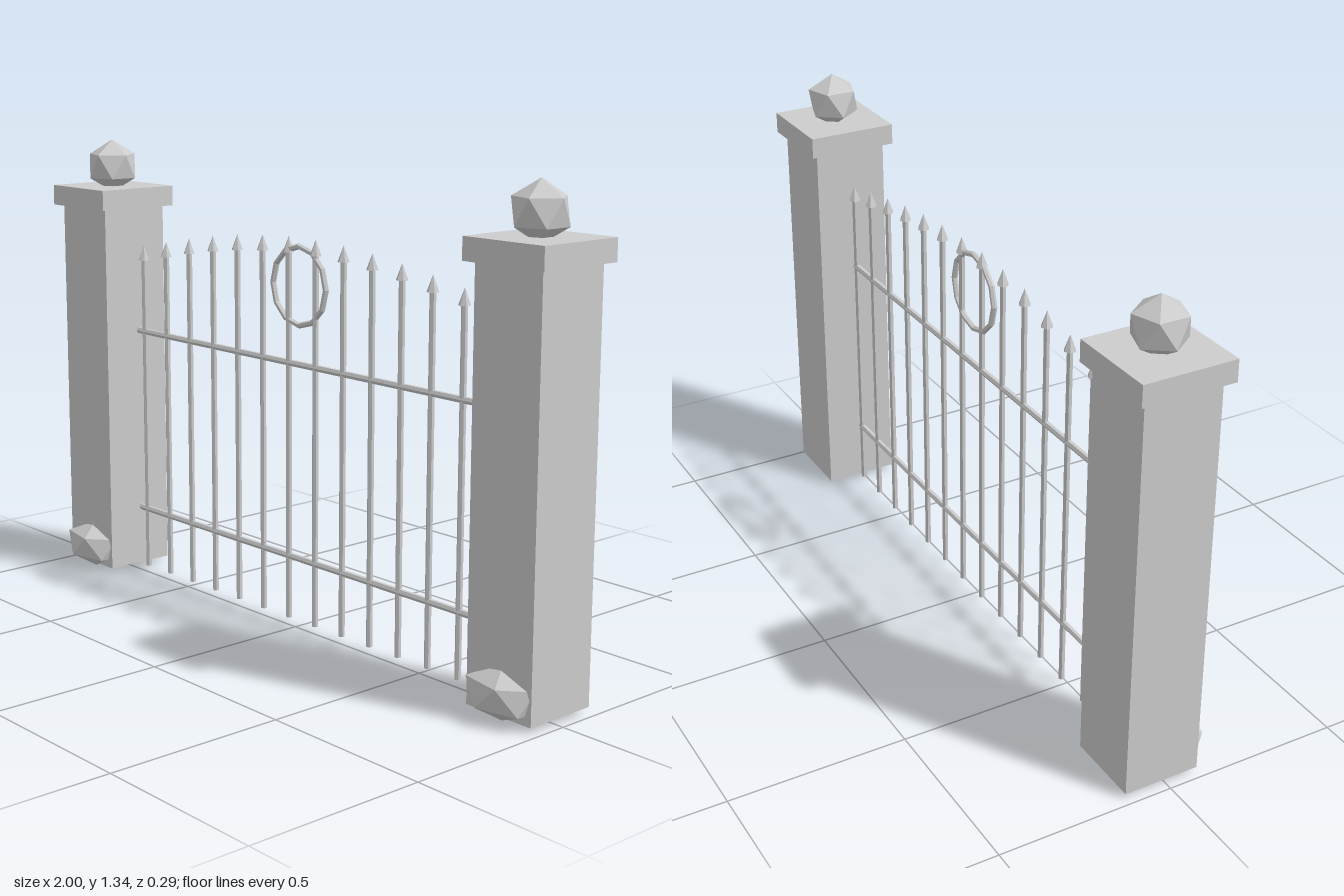
import * as THREE from 'three';

const Z = -0.014; // depth of the fence line

// icosahedron standing on a pole, one upper-ring vertex pointing to +x
function poleIcosahedron() {
  const pos = [0, 1, 0];
  const h = Math.sqrt(0.2), r = 2 * h;
  for (let ring = 0; ring < 2; ring++) {
    for (let i = 0; i < 5; i++) {
      const a = (i + ring * 0.5) * Math.PI * 0.4;
      pos.push(r * Math.cos(a), ring ? -h : h, r * Math.sin(a));
    }
  }
  pos.push(0, -1, 0);
  const index = [];
  for (let i = 0; i < 5; i++) {
    const n = (i + 1) % 5;
    const u = 1 + i, un = 1 + n, l = 6 + i, ln = 6 + n;
    index.push(0, un, u, u, un, l, un, ln, l, l, ln, 11);
  }
  const g = new THREE.BufferGeometry();
  g.setAttribute('position', new THREE.Float32BufferAttribute(pos, 3));
  g.setIndex(index);
  const flat = g.toNonIndexed();
  flat.computeVertexNormals();
  return flat;
}

export function createModel() {
  const model = new THREE.Group();
  model.name = 'gate';
  const grey = new THREE.MeshStandardMaterial({ color: 0xcccccc, flatShading: true });
  grey.name = 'grey';

  const add = (parent, name, geometry, x, y, z) => {
    const mesh = new THREE.Mesh(geometry, grey);
    mesh.name = name;
    mesh.position.set(x, y, z);
    parent.add(mesh);
    return mesh;
  };

  // stone pillars with cap, finial and a rock at the foot
  const ico = poleIcosahedron();
  const shaft = new THREE.BoxGeometry(0.216, 1.12, 0.216);
  const cap = new THREE.BoxGeometry(0.26, 0.06, 0.26);
  for (const side of [-1, 1]) {
    const pillar = new THREE.Group();
    pillar.name = side < 0 ? 'rightPillar' : 'leftPillar';
    pillar.position.x = side * 0.87;
    add(pillar, 'shaft', shaft, 0, 0.575, Z);
    add(pillar, 'cap', cap, 0, 1.165, Z);
    add(pillar, 'finial', ico, 0, 1.255, Z).scale.setScalar(0.08);
    add(pillar, 'rock', ico, 0, 0.072, 0.08).scale.set(0.122, 0.072, 0.076);
    model.add(pillar);
  }

  // upright bars with spear tips, rising in an arc toward the middle
  const spear = new THREE.ConeGeometry(0.017, 0.045, 6);
  const bars = new THREE.Group();
  bars.name = 'bars';
  const count = 14, bottom = 0.016;
  for (let i = 0; i < count; i++) {
    const x = -0.715 + 0.1119 * i;
    const tip = 1.024 + 0.091 * Math.sin((Math.PI * i) / (count - 1));
    const length = tip - 0.045 - bottom;
    add(bars, 'bar', new THREE.CylinderGeometry(0.009, 0.009, length, 6), x, bottom + length / 2, Z);
    add(bars, 'spearTip', spear, x, tip - 0.0225, Z);
  }
  model.add(bars);

  // horizontal rails
  const rail = new THREE.CylinderGeometry(0.0095, 0.0095, 1.495, 6);
  rail.rotateZ(Math.PI / 2);
  add(model, 'lowerRail', rail, 0, 0.2, Z);
  add(model, 'upperRail', rail, 0, 0.76, Z);

  // ornamental ring
  add(model, 'ring', new THREE.TorusGeometry(0.11, 0.0085, 6, 12), 0, 0.979, Z);

  return model;
}
